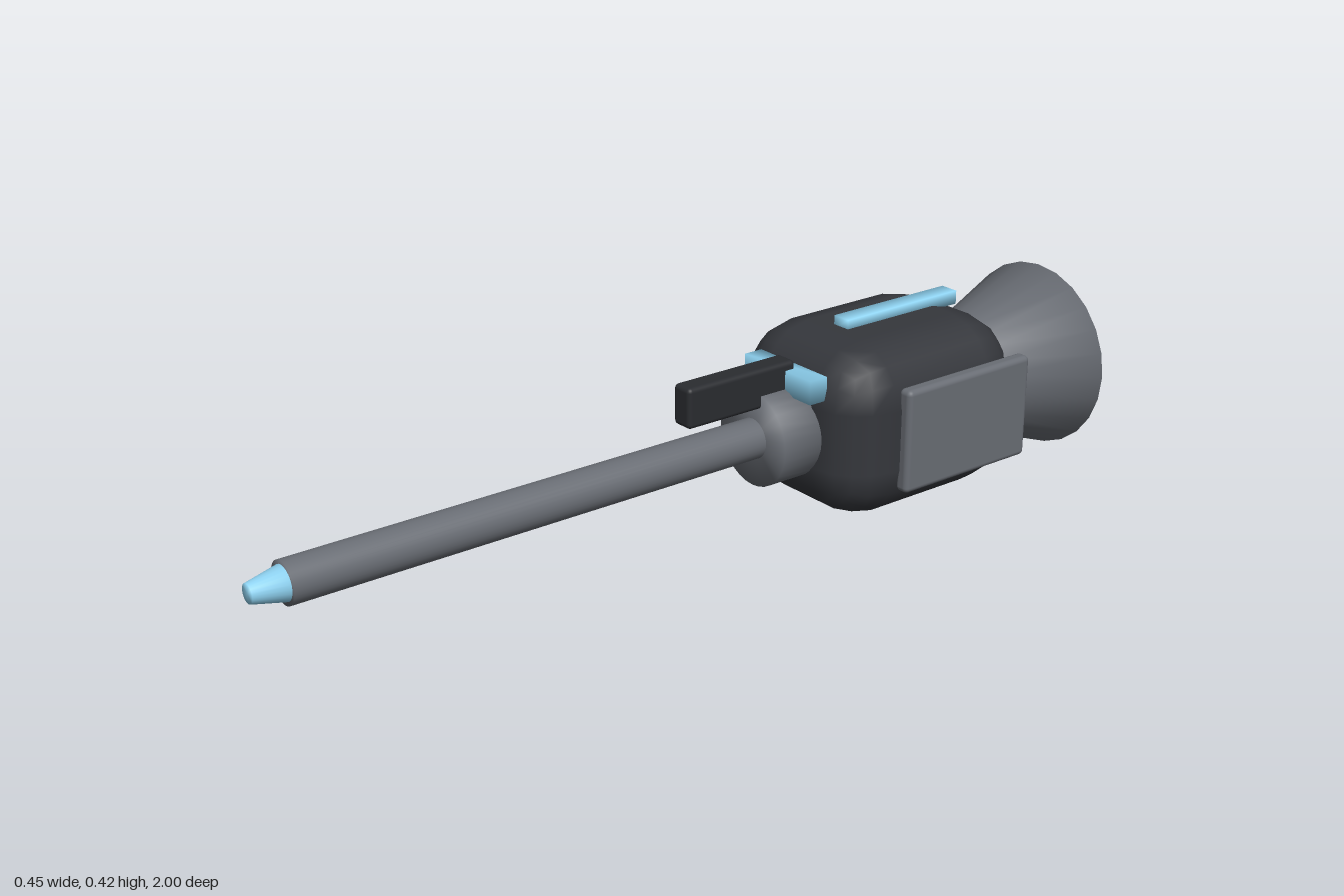
import * as THREE from 'three';
import { mergeVertices } from 'three/addons/utils/BufferGeometryUtils.js';
import { RoundedBoxGeometry } from 'three/addons/geometries/RoundedBoxGeometry.js';

const AXIS_Y = 0.213; // height of the long axis
const DARK = 0x35373c, GREY = 0x696d74, BLACK = 0x2a2c30, BLUE = 0x8fd3f2;

// Shares the corners between faces, so shading runs smoothly over every edge
function smooth(geometry) {
  geometry.deleteAttribute('normal');
  geometry.deleteAttribute('uv');
  const merged = mergeVertices(geometry);
  merged.computeVertexNormals();
  return merged;
}

export function createModel() {
  const group = new THREE.Group();

  const add = (name, geometry, color, x, y, z) => {
    const mesh = new THREE.Mesh(geometry, new THREE.MeshStandardMaterial({ color }));
    mesh.name = name;
    mesh.position.set(x, y, z);
    group.add(mesh);
  };
  const roundedBox = (name, w, h, d, radius, segments, color, x, y, z) =>
    add(name, new RoundedBoxGeometry(w, h, d, segments, radius), color, x, y, z);
  const softBox = (name, w, h, d, color, x, y, z) =>
    add(name, smooth(new THREE.BoxGeometry(w, h, d)), color, x, y, z);
  // Closed cylinder or cone along z, from the back end to the front end
  const rod = (name, backRadius, frontRadius, back, front, segments, color) =>
    add(name, smooth(new THREE.CylinderGeometry(frontRadius, backRadius, front - back, segments)
      .rotateX(Math.PI / 2)), color, 0, AXIS_Y, (back + front) / 2);

  // Main housing with heavily rounded edges
  roundedBox('body', 0.407, 0.384, 0.516, 0.125, 2, DARK, 0, 0.214, -0.511);

  // Side plates
  for (const side of [-1, 1]) {
    roundedBox(side > 0 ? 'leftPlate' : 'rightPlate', 0.035, 0.23, 0.355, 0.012, 3,
      GREY, side * 0.208, 0.213, -0.568);
  }

  // Flared rear bell, collar, barrel and tapered tip
  rod('rearBell', 0.212, 0.13, -1, -0.77, 24, GREY);
  rod('collar', 0.105, 0.105, -0.27, -0.16, 32, GREY);
  rod('barrel', 0.044, 0.044, -0.2, 0.93, 32, GREY);
  rod('tip', 0.037, 0.02, 0.925, 1, 24, BLUE);

  // Cross bar above the collar
  softBox('crossBar', 0.21, 0.052, 0.045, BLUE, 0, 0.329, -0.247);

  // Sight block over the barrel
  roundedBox('sight', 0.052, 0.088, 0.28, 0.01, 3, BLACK, 0, 0.329, -0.112);

  // Strip along the top of the housing
  softBox('topStrip', 0.043, 0.03, 0.318, BLUE, 0, 0.411, -0.559);

  return group;
}
